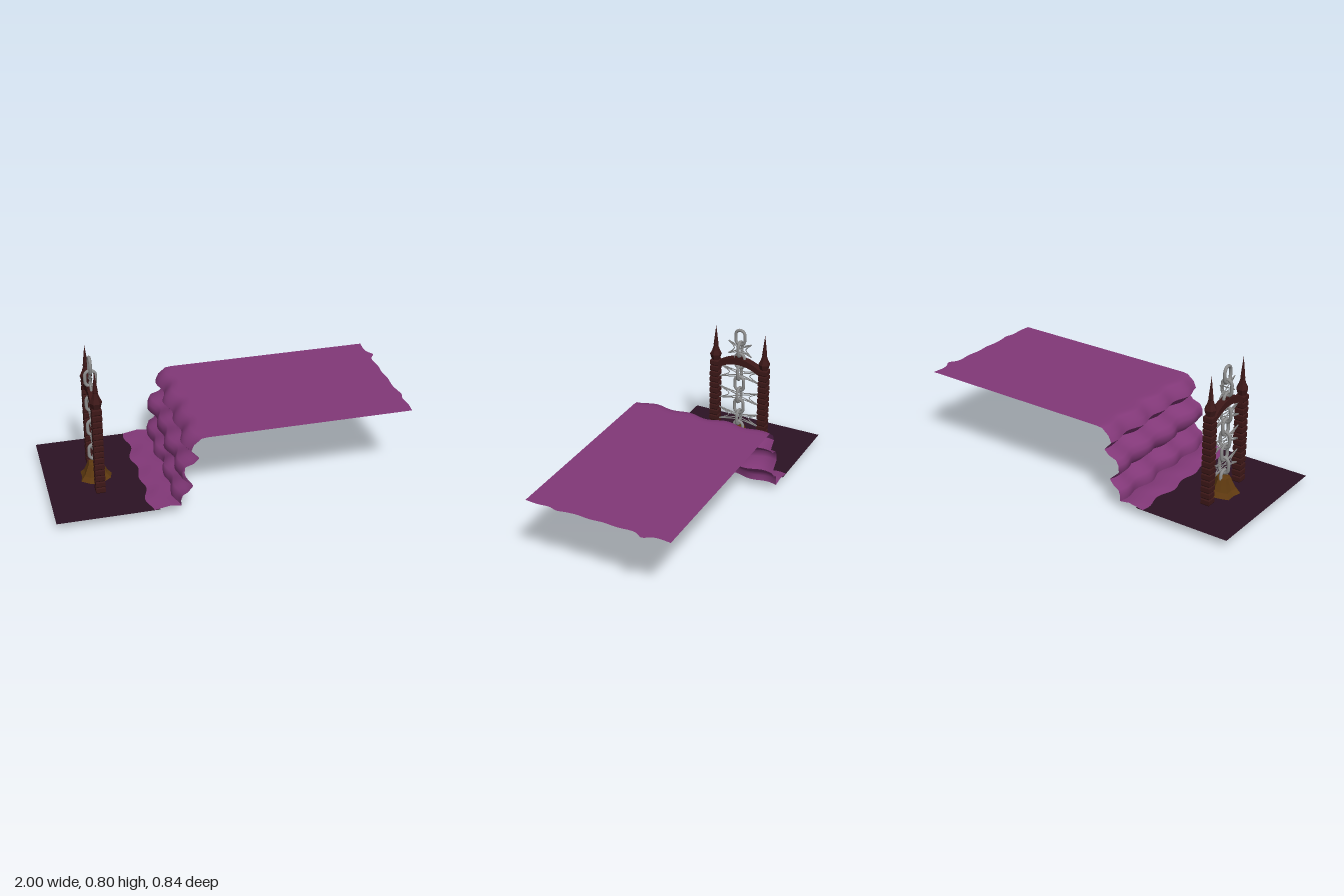
import * as THREE from 'three';
import { toCreasedNormals } from 'three/addons/utils/BufferGeometryUtils.js';

const GATE_X = -0.72, GROUND_Y = 0.047, HALF_Z = 0.42;

function createMaterials() {
  const make = (color, options = {}) => new THREE.MeshStandardMaterial({ color, ...options });
  return {
    earth: make(0x2b1224, { side: THREE.DoubleSide }),
    cliff: make(0x823878, { side: THREE.DoubleSide }),
    post: make(0x3d1818, { flatShading: true }),
    rock: make(0x5f3a10, { flatShading: true }),
    steel: make(0x8c8c8c),
  };
}

function addMesh(parent, name, geometry, material, x = 0, y = 0, z = 0) {
  const mesh = new THREE.Mesh(geometry, material);
  mesh.name = name;
  mesh.position.set(x, y, z);
  parent.add(mesh);
  return mesh;
}

// Folded sheet: foot skirt, three ledges, then the flat plateau
function cliffGeometry() {
  const profile = [
    [-0.483, 0.047], [-0.44, 0.055], [-0.40, 0.062], [-0.34, 0.052], [-0.342, 0.085],
    [-0.33, 0.115], [-0.30, 0.13], [-0.268, 0.165], [-0.325, 0.222], [-0.322, 0.26],
    [-0.305, 0.29], [-0.26, 0.305], [-0.233, 0.333], [-0.28, 0.382], [-0.265, 0.42],
    [-0.225, 0.453], [-0.19, 0.457], [-0.15, 0.457], [-0.1, 0.457], [0.975, 0.457],
  ];
  const last = profile.length - 1;
  const columns = last + 1;
  const geometry = new THREE.PlaneGeometry(1, 1, last, 56);
  const pos = geometry.attributes.position;
  const bump = (z, centre, width) => Math.exp(-(((z - centre) / width) ** 2));
  for (let i = 0; i < pos.count; i++) {
    const k = i % columns;
    const z = -pos.getY(i) * 2 * HALF_Z;
    let [x, y] = profile[k];
    if (k === last) {
      x += 0.025 * bump(z, -0.27, 0.03) + 0.01 * bump(z, 0.23, 0.03) + 0.003 * Math.sin(z * 40);
    } else if (k < 17) {
      x += 0.012 * Math.sin(z * 28 + 2.4) + 0.005 * Math.sin(z * 15 + k * 0.5);
    }
    pos.setXYZ(i, x, y, z);
  }
  return toCreasedNormals(geometry, 0.95);
}

// Square post of stacked chamfered blocks
function postGeometry(bottom, top, count, half) {
  const step = (top - bottom) / count;
  const points = [new THREE.Vector2(0, bottom)];
  for (let i = 0; i < count; i++) {
    const y = bottom + i * step;
    [[0.84, 0], [1, 0.18], [1, 0.82], [0.84, 1]].forEach(([r, t]) =>
      points.push(new THREE.Vector2(r * half * Math.SQRT2, y + t * step)));
  }
  points.push(new THREE.Vector2(0, top));
  return new THREE.LatheGeometry(points, 4).rotateY(Math.PI / 4);
}

// Six-sided bulb with a long spike
function finialGeometry() {
  const points = [[0, 0.565], [0.024, 0.565], [0.035, 0.602], [0.022, 0.63], [0.013, 0.658], [0.015, 0.663], [0, 0.788]]
    .map(([r, y]) => new THREE.Vector2(r, y));
  return new THREE.LatheGeometry(points, 6).rotateY(Math.PI / 6);
}

function archGeometry() {
  const shape = new THREE.Shape();
  shape.moveTo(-0.135, 0.562);
  shape.quadraticCurveTo(0, 0.655, 0.135, 0.562);
  shape.lineTo(0.135, 0.525);
  shape.quadraticCurveTo(0, 0.612, -0.135, 0.525);
  return new THREE.ExtrudeGeometry(shape, { depth: 0.044, bevelEnabled: false, curveSegments: 10 })
    .translate(0, 0, -0.022)
    .rotateY(-Math.PI / 2);
}

// Oval chain link lying in the xy plane
function linkGeometry() {
  const geometry = new THREE.TorusGeometry(0.029, 0.0092, 10, 28);
  const pos = geometry.attributes.position;
  for (let i = 0; i < pos.count; i++) {
    const y = pos.getY(i);
    if (Math.abs(y) > 1e-5) pos.setY(i, y + Math.sign(y) * 0.017);
  }
  return geometry;
}

// Thin wire through points given as [z, y]
function wireGeometry(points) {
  const curve = new THREE.CatmullRomCurve3(points.map(([z, y]) => new THREE.Vector3(0, y, z)));
  return new THREE.TubeGeometry(curve, 12, 0.0032, 5);
}

// Four-pointed wire ornament with inward-curving sides and crossing bars
function addWireStar(parent, y, halfWidth, halfHeight, material) {
  const star = new THREE.Group();
  star.name = 'wireStar';
  star.position.set(GATE_X, y, 0);
  const w = halfWidth, h = halfHeight;
  for (const s of [-1, 1]) {
    const wires = [
      [[-w, -s * h], [0, 0], [w, s * h]],
      [[-w, s * h], [0, s * h * 0.5], [w, s * h]],
      [[s * w, -h], [s * w * 0.5, 0], [s * w, h]],
    ];
    wires.forEach((points) => addMesh(star, 'wire', wireGeometry(points), material));
  }
  parent.add(star);
}

// Flared faceted mound with uneven sides
function moundGeometry() {
  const points = [[0, -0.005], [0.09, -0.004], [0.066, 0.025], [0.05, 0.06], [0.036, 0.092], [0, 0.1]]
    .map(([r, y]) => new THREE.Vector2(r, y));
  const geometry = new THREE.LatheGeometry(points, 11);
  const pos = geometry.attributes.position;
  for (let i = 0; i < pos.count; i++) {
    const x = pos.getX(i), z = pos.getZ(i);
    const a = Math.atan2(z, x);
    const s = 1 + 0.1 * Math.sin(5 * a + 1) + 0.05 * Math.cos(3 * a);
    pos.setX(i, x * s);
    pos.setZ(i, z * s);
  }
  return geometry;
}

export function createModel() {
  const model = new THREE.Group();
  model.name = 'chainedGateScene';
  const mat = createMaterials();

  // Terrain
  const ground = new THREE.PlaneGeometry(0.56, 2 * HALF_Z).rotateX(-Math.PI / 2);
  addMesh(model, 'ground', ground, mat.earth, -0.72, GROUND_Y - 0.001, 0);
  addMesh(model, 'cliffAndPlateau', cliffGeometry(), mat.cliff);

  // Gate frame
  const gate = new THREE.Group();
  gate.name = 'gate';
  model.add(gate);
  const post = postGeometry(GROUND_Y - 0.002, 0.568, 14, 0.027);
  const finial = finialGeometry();
  for (const z of [-0.158, 0.158]) {
    addMesh(gate, 'post', post, mat.post, GATE_X, 0, z);
    addMesh(gate, 'finial', finial, mat.post, GATE_X, 0, z);
  }
  addMesh(gate, 'arch', archGeometry(), mat.post, GATE_X);
  addMesh(gate, 'keystone', new THREE.BoxGeometry(0.036, 0.02, 0.05), mat.post, GATE_X, 0.61, 0);

  // Hanging chain, each link turned a quarter from the last
  const link = linkGeometry();
  for (let i = 0; i < 10; i++) {
    const mesh = addMesh(gate, 'chainLink', link, mat.steel, GATE_X, 0.741 - i * 0.0762, 0);
    if (i % 2 === 0) mesh.rotation.y = Math.PI / 2;
  }

  // Wire ornaments above and inside the arch
  addWireStar(gate, 0.667, 0.075, 0.041, mat.steel);
  for (const y of [0.5, 0.355, 0.21]) addWireStar(gate, y, 0.132, 0.04, mat.steel);

  // Rock anchoring the chain
  addMesh(model, 'rockMound', moundGeometry(), mat.rock, GATE_X, GROUND_Y, 0);
  return model;
}
